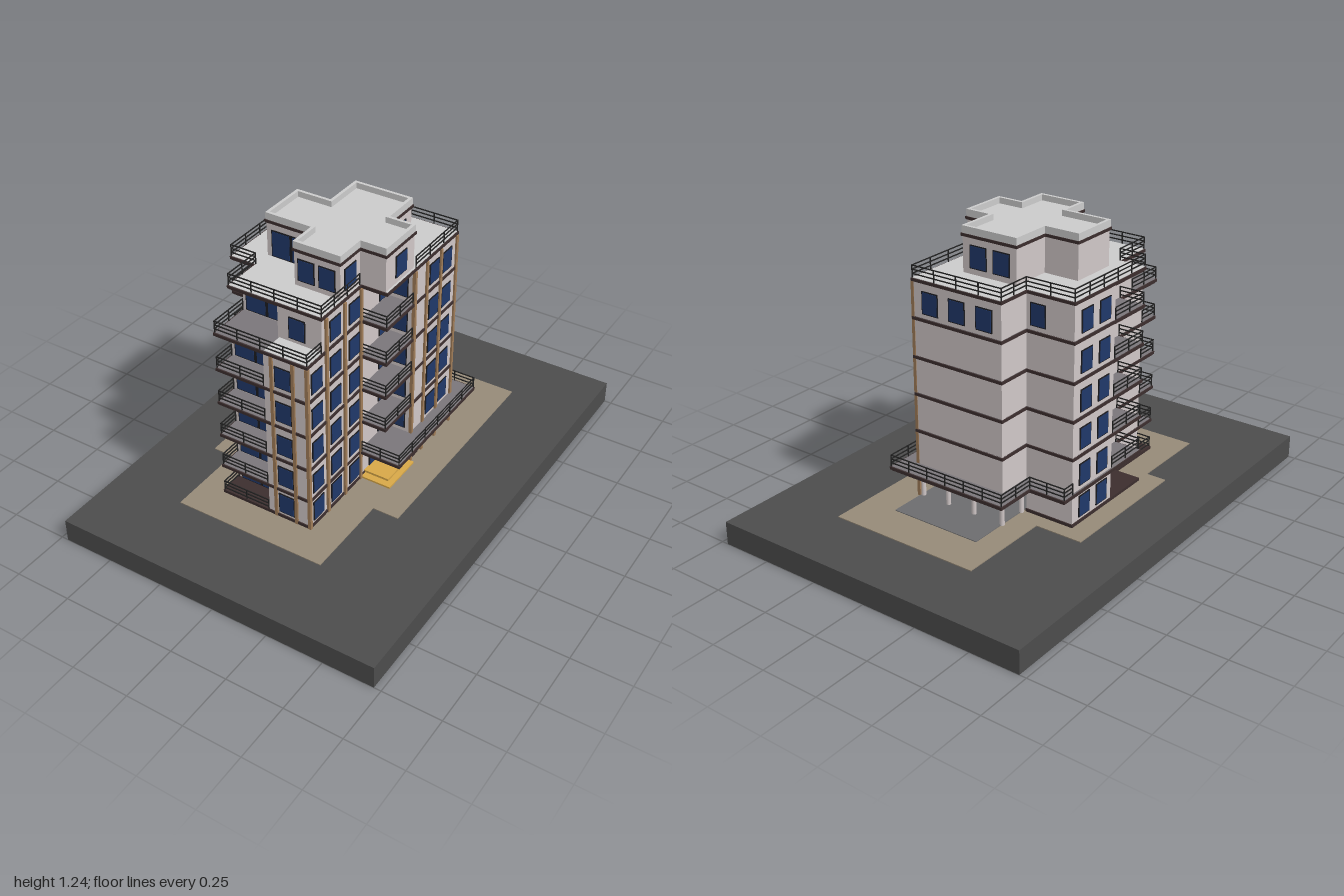
import * as THREE from 'three';
import { mergeGeometries } from 'three/addons/utils/BufferGeometryUtils.js';

const mat = (color) => new THREE.MeshStandardMaterial({ color });
const M = {
  ground: mat(0x4c4c4c), path: mat(0x968a78), asphalt: mat(0x6c6c6e), wall: mat(0xd0c7c7),
  slab: mat(0x3c2e2e), deck: mat(0x7a767a), roof: mat(0xcccccc), glass: mat(0x20386a),
  frame: mat(0x1c1c20), wood: mat(0xa07c58), rail: mat(0x222222), step: mat(0xd8a848),
};

export function createModel() {
  const model = new THREE.Group();
  const add = (name, geo, material, parent = model) => {
    const m = new THREE.Mesh(geo, material);
    m.name = name;
    parent.add(m);
    return m;
  };
  const boxGeo = (x0, x1, y0, y1, z0, z1) =>
    new THREE.BoxGeometry(x1 - x0, y1 - y0, z1 - z0).translate((x0 + x1) / 2, (y0 + y1) / 2, (z0 + z1) / 2);

  // Upright prism over a floor plan of [x, z] corners, with an optional inner hole
  const prism = (plan, y0, y1, hole) => {
    const pts = (p) => p.map(([x, z]) => new THREE.Vector2(x, z));
    const shape = new THREE.Shape(pts(plan));
    if (hole) shape.holes.push(new THREE.Path(pts(hole)));
    return new THREE.ExtrudeGeometry(shape, { depth: y1 - y0, bevelEnabled: false })
      .rotateX(Math.PI / 2).translate(0, y1, 0);
  };

  // Railing with three bars and regular posts along a path
  const railing = (name, path, y, h = 0.052) => {
    const parts = [];
    const post = (x, z) => parts.push(boxGeo(x - 0.002, x + 0.002, y, y + h, z - 0.002, z + 0.002));
    post(...path[0]);
    for (let i = 1; i < path.length; i++) {
      const [ax, az] = path[i - 1], [bx, bz] = path[i];
      const len = Math.hypot(bx - ax, bz - az), n = Math.max(1, Math.round(len / 0.1));
      for (let k = 1; k <= n; k++) post(ax + (bx - ax) * k / n, az + (bz - az) * k / n);
      for (const f of [0.35, 0.68, 1]) {
        parts.push(boxGeo(Math.min(ax, bx) - 0.002, Math.max(ax, bx) + 0.002, y + h * f - 0.004, y + h * f,
          Math.min(az, bz) - 0.002, Math.max(az, bz) + 0.002));
      }
    }
    add(name, mergeGeometries(parts), M.rail);
  };

  // Framed window or double door on a wall; ry turns it from +z
  const FRONT = 0, RIGHT = Math.PI / 2, BACK = Math.PI, LEFT = -Math.PI / 2;
  const opening = (name, x, z, y0, w, h, ry, panes = 1) => {
    const g = new THREE.Group();
    g.name = name;
    add('frame', new THREE.BoxGeometry(w, h, 0.008), M.frame, g);
    const gap = panes > 1 ? 0.014 : 0, pw = (w - 0.008 - gap * (panes - 1)) / panes;
    for (let i = 0; i < panes; i++) {
      add('glass', new THREE.BoxGeometry(pw, h - 0.008, 0.011), M.glass, g)
        .position.x = -w / 2 + 0.004 + pw / 2 + i * (pw + gap);
    }
    g.position.set(x, y0 + h / 2, z);
    g.rotation.y = ry;
    model.add(g);
  };

  // Site: base block, paving, parking area and entrance steps
  add('base', boxGeo(-0.72, 0.72, 0, 0.1, -1, 1), M.ground);
  add('paving', prism([[-0.28, -0.71], [0.39, -0.71], [0.39, 0.285], [0.275, 0.285], [0.275, 0.67],
    [-0.4, 0.67], [-0.4, 0.32], [-0.49, 0.32], [-0.49, -0.3], [-0.28, -0.3]], 0.1, 0.104), M.path);
  add('parkingFloor', boxGeo(-0.17, 0.24, 0.1, 0.107, -0.54, -0.1), M.asphalt);
  add('entranceStep', boxGeo(0.13, 0.27, 0.1, 0.112, -0.045, 0.15), M.step);
  add('entranceLanding', boxGeo(0.13, 0.245, 0.1, 0.122, -0.045, 0.12), M.step);

  // Floor plans
  const levels = [0.105, 0.245, 0.4, 0.56, 0.72, 0.883, 1.04];
  const walls = (front, doors, ground) => [
    ...(ground ? [[-0.18, -0.12], [0.24, -0.12]] : [[-0.18, -0.385], [0.245, -0.385]]),
    [0.245, -0.05], [0.13, -0.05], [0.13, front], [-0.065, front], [-0.065, doors], [-0.285, doors],
    [-0.285, 0.04], [-0.4, 0.04], [-0.4, -0.23], [-0.18, -0.23]];
  const slab = (front, e = 0) => [
    [-0.185 - e, -0.39 - e], [0.25 + e, -0.39 - e], [0.25 + e, 0.155 + e], [0.135 + e, 0.155 + e],
    [0.135 + e, front + e], [-0.29 - e, front + e], [-0.29 - e, 0.25 + e], [-0.405 - e, 0.25 + e],
    [-0.405 - e, -0.235 - e], [-0.185 - e, -0.235 - e]];
  const terrace = (e) => [
    [-0.41 - e, -0.295 - e], [-0.245 - e, -0.295 - e], [-0.245 - e, -0.475 - e], [0.32 + e, -0.475 - e],
    [0.32 + e, 0.16 + e], [0.135 + e, 0.16 + e], [0.135 + e, 0.525 + e], [-0.29 - e, 0.525 + e],
    [-0.29 - e, 0.25 + e], [-0.41 - e, 0.25 + e]];

  // Plinth
  add('plinth', prism([[-0.18, -0.12], [0.245, -0.12], [0.245, -0.045], [0.135, -0.045], [0.135, 0.525],
    [-0.29, 0.525], [-0.29, 0.25], [-0.405, 0.25], [-0.405, -0.235], [-0.18, -0.235]], 0.1, 0.117), M.slab);

  // Storeys with their slabs, windows and balconies
  for (let i = 0; i < 6; i++) {
    const y = levels[i], top = levels[i + 1], last = i === 5;
    const front = last ? 0.42 : 0.52, doors = last ? 0.335 : 0.42;
    add('storeyWalls', prism(walls(front, doors, i === 0), y, top - 0.006), M.wall);

    const plan = i === 0 ? terrace : (e) => slab(last ? 0.425 : 0.525, e);
    add('floorSlab', prism(plan(0), top - 0.008, top + 0.004), M.slab);
    add('slabLedge', prism(plan(-0.006), top - 0.014, top - 0.008), M.slab);
    add('deck', prism(plan(-0.005), top + 0.004, top + 0.006), last ? M.roof : M.deck);

    const wy = y + 0.024, h = 0.094;
    opening('balconyDoor', -0.172, doors, y + 0.012, 0.196, 0.118, FRONT, 2);
    opening('frontWindow', 0.022, front, wy, 0.074, h, FRONT);
    for (const z of [0.46, 0.332, 0.2]) {
      if (!(last && z > 0.42)) opening('rightWindow', 0.13, z, wy, 0.074, h, RIGHT);
    }
    for (const z of [-0.15, -0.03]) opening('leftWindow', -0.4, z, wy, 0.074, h, LEFT);
    opening('leftBalconyDoor', -0.285, 0.145, y + 0.012, 0.09, 0.118, LEFT);
    if (i > 0) {
      opening('sideWindow', 0.183, -0.05, wy, 0.076, h, FRONT);
      opening('sideBalconyDoor', 0.13, -0.01, y + 0.012, 0.06, 0.11, RIGHT);
      for (const z of [-0.205, -0.305]) opening('rightWindow', 0.245, z, wy, 0.074, h, RIGHT);
      railing('leftBalconyRailing', [[-0.4, 0.045], [-0.4, 0.245], [-0.29, 0.245]], y + 0.005);
    } else {
      opening('entranceDoor', 0.13, 0.02, 0.122, 0.13, 0.1, RIGHT, 2);
    }
    if (i > 1) railing('rightBalconyRailing', [[0.245, -0.045], [0.245, 0.15], [0.135, 0.15]], y + 0.005);
    railing('frontBalconyRailing', last
      ? [[-0.285, 0.34], [-0.285, 0.52], [0.13, 0.52], [0.13, 0.425]]
      : [[-0.285, 0.425], [-0.285, 0.52], [-0.068, 0.52]], y + 0.006);
  }
  add('frontTerraceRoof', boxGeo(-0.06, 0.13, 0.886, 0.891, 0.42, 0.52), M.roof);
  for (const x of [-0.1, 0.03, 0.16]) opening('backWindow', x, -0.385, 0.907, 0.078, 0.094, BACK);
  opening('backWindow', -0.235, -0.23, 0.907, 0.07, 0.094, BACK);

  // Railings round the first-floor terrace and the main roof
  railing('terraceRailing', [[-0.405, -0.235], [-0.405, -0.29], [-0.24, -0.29], [-0.24, -0.47], [0.315, -0.47],
    [0.315, 0.155], [0.14, 0.155]], 0.25);
  railing('roofRailing', [[0.245, -0.06], [0.245, -0.385], [-0.18, -0.385], [-0.18, -0.23], [-0.4, -0.23],
    [-0.4, 0.245], [-0.285, 0.245], [-0.285, 0.42], [0.13, 0.42], [0.13, 0.16]], 1.045);

  // Timber strips running up the facade
  const strip = (x, z, y1 = 1.03) =>
    add('timberStrip', boxGeo(x - 0.007, x + 0.007, 0.104, y1, z - 0.007, z + 0.007), M.wood);
  for (const z of [0.395, 0.27, 0.155]) strip(0.133, z);
  for (const z of [-0.055, -0.145, -0.255, -0.38]) strip(0.246, z);
  for (const x of [-0.028, 0.068]) strip(x, 0.52, 0.875);
  strip(0.13, 0.52, 0.875);

  // Columns carrying the back over the parking area
  for (const x of [-0.17, -0.03, 0.1, 0.23]) {
    for (const z of [-0.375, -0.25]) {
      add('column', new THREE.CylinderGeometry(0.01, 0.01, 0.135, 12).translate(x, 0.17, z), M.wall);
    }
  }

  // Cross-shaped penthouse
  const cross = (e) => [
    [-0.13 - e, -0.225 - e], [0.125 + e, -0.225 - e], [0.125 + e, -0.055 - e], [0.238 + e, -0.055 - e],
    [0.238 + e, 0.15 + e], [0.125 + e, 0.15 + e], [0.125 + e, 0.285 + e], [-0.077 - e, 0.285 + e],
    [-0.077 - e, 0.165 + e], [-0.285 - e, 0.165 + e], [-0.285 - e, -0.045 - e], [-0.13 - e, -0.045 - e]];
  add('penthouseWalls', prism(cross(0), 1.04, 1.2), M.wall);
  add('penthouseBand', prism(cross(0.006), 1.193, 1.205), M.slab);
  add('penthouseRoof', prism(cross(-0.008), 1.2, 1.21), M.roof);
  add('parapet', prism(cross(0.003), 1.205, 1.235, cross(-0.01)), M.roof);
  opening('penthouseDoor', -0.172, 0.165, 1.05, 0.18, 0.115, FRONT, 2);
  for (const x of [-0.024, 0.068]) opening('penthouseWindow', x, 0.285, 1.07, 0.074, 0.095, FRONT);
  for (const [x, z] of [[0.125, 0.22], [0.238, 0.043], [0.125, -0.14]]) {
    opening('penthouseWindow', x, z, 1.07, 0.08, 0.095, RIGHT);
  }
  for (const x of [-0.06, 0.05]) opening('penthouseWindow', x, -0.225, 1.07, 0.08, 0.095, BACK);

  return model;
}
